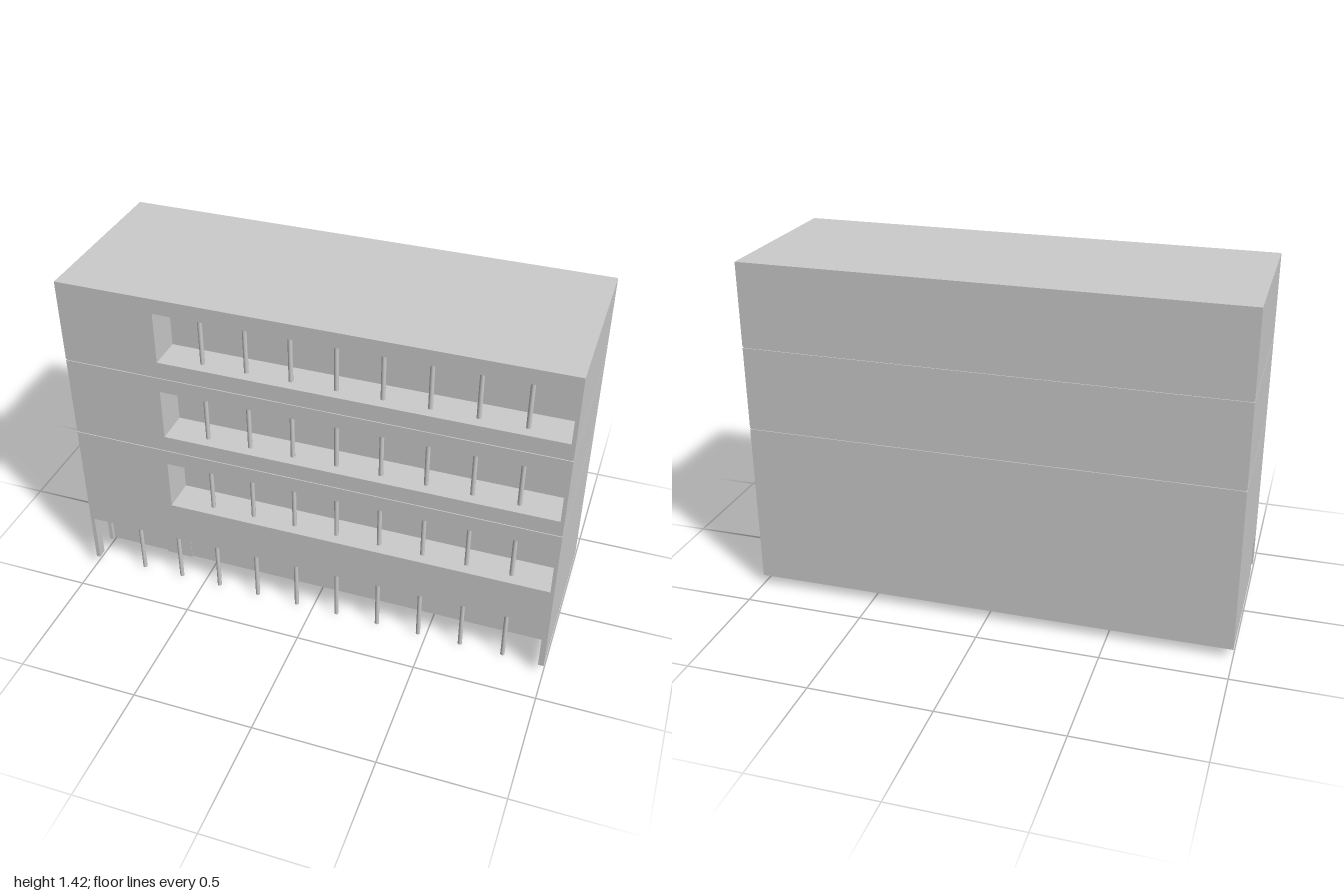
import * as THREE from 'three';

const grey = new THREE.MeshStandardMaterial({ color: 0xcccccc });
const FRONT = 0.36, RECESS = 0.22, BASE = 0.04;
const PILLAR_STEP = 0.1793;

function add(parent, name, geometry, x = 0, y = 0, z = 0) {
  const mesh = new THREE.Mesh(geometry, grey);
  mesh.name = name;
  mesh.position.set(x, y, z);
  parent.add(mesh);
  return mesh;
}

// Box given by its lower and upper corners
function block(parent, name, x0, x1, y0, y1, z0, z1) {
  return add(parent, name, new THREE.BoxGeometry(x1 - x0, y1 - y0, z1 - z0),
    (x0 + x1) / 2, (y0 + y1) / 2, (z0 + z1) / 2);
}

function polygon(points, Type = THREE.Shape) {
  return new Type(points.map(([x, y]) => new THREE.Vector2(x, y)));
}

// Row of slim round columns, starting at a given bay
function pillarRow(parent, name, firstBay, y0, y1) {
  const row = new THREE.Group();
  row.name = name;
  const geometry = new THREE.CylinderGeometry(0.009, 0.009, y1 - y0, 16);
  for (let i = firstBay; i < 10; i++) {
    add(row, 'pillar', geometry, -0.79 + i * PILLAR_STEP, (y0 + y1) / 2, 0.31);
  }
  parent.add(row);
}

export function createModel() {
  const building = new THREE.Group();
  building.name = 'building';

  // Storeys: body, pierced facade and balcony columns
  const storeys = [
    { y0: BASE, y1: 0.722, open: [0.44, 0.657], arcade: true },
    { y0: 0.727, y1: 1.072, open: [0.793, 1.01] },
    { y0: 1.077, y1: 1.423, open: [1.145, 1.36] },
  ];
  storeys.forEach(({ y0, y1, open, arcade }, i) => {
    const storey = new THREE.Group();
    storey.name = 'storey' + (i + 1);
    block(storey, 'body', -1, 1, y0, y1, -FRONT, RECESS);

    const outline = arcade
      ? [[-1, 0.26], [0.977, 0.26], [0.977, y0], [1, y0], [1, y1], [-1, y1]]
      : [[-1, y0], [1, y0], [1, y1], [-1, y1]];
    const shape = polygon(outline);
    const [b, t] = open;
    shape.holes.push(polygon([[-0.6, b], [-0.6, t], [0.985, t], [0.985, b]], THREE.Path));
    add(storey, 'facade', new THREE.ExtrudeGeometry(shape,
      { depth: FRONT - RECESS, bevelEnabled: false }), 0, 0, RECESS);

    pillarRow(storey, 'balconyPillars', 2, b, t);
    building.add(storey);
  });

  // Recessed joints between the storeys
  for (const y of [0.722, 1.072]) {
    block(building, 'floorJoint', -0.996, 0.996, y, y + 0.005, -0.356, 0.356);
  }

  // Arcade end wall with its side passage and corner pier
  const wall = polygon([
    [RECESS, BASE], [0.235, BASE], [0.235, 0.185], [0.32, 0.185],
    [0.32, BASE], [FRONT, BASE], [FRONT, 0.26], [RECESS, 0.26],
  ]);
  const wallGeometry = new THREE.ExtrudeGeometry(wall, { depth: 0.017, bevelEnabled: false });
  wallGeometry.rotateY(-Math.PI / 2); // profile runs along z, thickness along -x
  add(building, 'arcadeEndWall', wallGeometry, -0.983);

  pillarRow(building, 'arcadePillars', 0, 0, 0.26);

  // Double entrance door against the recessed wall
  const door = new THREE.Group();
  door.name = 'entranceDoor';
  for (const x of [-0.72, -0.659]) {
    block(door, 'doorLeaf', x, x + 0.059, 0.034, 0.19, 0.216, 0.222);
  }
  building.add(door);

  return building;
}
